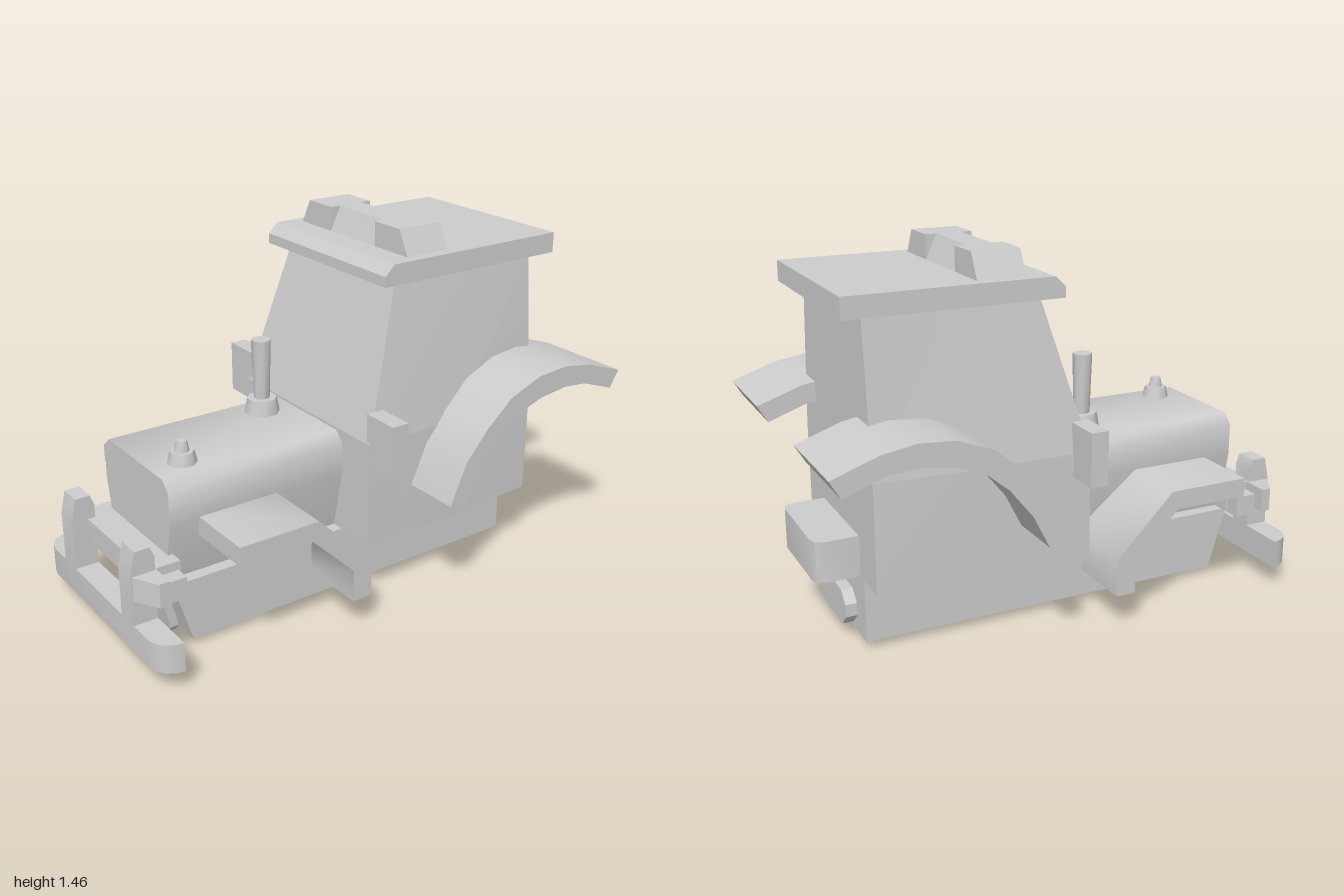
import * as THREE from 'three';
import { toCreasedNormals } from 'three/addons/utils/BufferGeometryUtils.js';

const grey = new THREE.MeshStandardMaterial({ color: 0xcccccc });
grey.name = 'plain grey';

export function createModel() {
  const model = new THREE.Group();
  model.name = 'tractorBody';

  const add = (name, geometry, crease = 0.4) => {
    const mesh = new THREE.Mesh(toCreasedNormals(geometry, crease), grey);
    mesh.name = name;
    model.add(mesh);
    return mesh;
  };
  const extrude = (points, depth) => {
    const shape = new THREE.Shape(points.map(([a, b]) => new THREE.Vector2(a, b)));
    return new THREE.ExtrudeGeometry(shape, { depth, bevelEnabled: false, curveSegments: 8 });
  };
  // Side profile in (z, y), swept from x0 to x1
  const sideways = (points, x0, x1) =>
    extrude(points, x1 - x0).rotateY(-Math.PI / 2).translate(x1, 0, 0);
  // Front profile in (x, y), swept from z0 to z1
  const forward = (points, z0, z1) => extrude(points, z1 - z0).translate(0, 0, z0);
  // Plan in (x, z), swept from y0 to y1
  const upward = (points, y0, y1) =>
    extrude(points.map(([x, z]) => [x, -z]), y1 - y0).rotateX(-Math.PI / 2).translate(0, y0, 0);
  const box = (x0, x1, y0, y1, z0, z1) =>
    new THREE.BoxGeometry(x1 - x0, y1 - y0, z1 - z0)
      .translate((x0 + x1) / 2, (y0 + y1) / 2, (z0 + z1) / 2);
  const reshape = (geometry, rule) => {
    const p = geometry.attributes.position;
    for (let i = 0; i < p.count; i++) p.setXYZ(i, ...rule(p.getX(i), p.getY(i), p.getZ(i)));
    return geometry;
  };
  // Closed outline mirrored across x = 0
  const mirrored = (half) => [...half, ...half.map(([x, y]) => [-x, y]).reverse()];
  const octagon = (w, y0, y1, c) =>
    mirrored([[w - c, y0], [w, y0 + c], [w, y1 - c], [w - c, y1]]);

  // Chassis and hood
  add('chassis', sideways([[-0.77, 0.03], [0.745, 0.03], [0.82, 0.28], [-0.77, 0.28]], -0.25, 0.25));
  add('hood', forward(mirrored([[0.2, 0.28], [0.25, 0.52], [0.25, 0.65], [0.21, 0.69]]), 0.04, 0.82), 0.9);

  // Cab: box with three levels, tapering above the waist
  const cab = reshape(new THREE.BoxGeometry(2, 2, 2, 1, 2, 2), (x, y, z) => {
    const top = y > 0.5;
    const half = top ? 0.335 : [0.39, 0.415, 0.42][Math.round(z) + 1];
    const front = top ? -0.1 : 0.07;
    return [x * half, [0.28, 0.7, 1.28][Math.round(y) + 1], THREE.MathUtils.lerp(-0.77, front, (z + 1) / 2)];
  });
  add('cab', cab, 0.12);
  add('roof', sideways(
    [[-0.855, 1.28], [-0.02, 1.28], [-0.02, 1.32], [-0.06, 1.36], [-0.855, 1.36]], -0.38, 0.38));

  // Roof light bar: full-depth ends and a sloped middle
  for (const s of [1, -1]) {
    add('roofBarEnd', forward(
      [[s * 0.14, 1.36], [s * 0.335, 1.36], [s * 0.285, 1.455], [s * 0.14, 1.455]], -0.345, -0.155));
  }
  add('roofBarMiddle', sideways(
    [[-0.345, 1.36], [-0.155, 1.36], [-0.165, 1.38], [-0.2, 1.455], [-0.3, 1.455], [-0.335, 1.38]],
    -0.14, 0.14));

  // Fenders, lamps and bumper fittings on both sides
  const rearArch = [
    [-0.14, 0.48], [-0.21, 0.64], [-0.305, 0.75], [-0.42, 0.85], [-0.56, 0.905], [-0.7, 0.915],
    [-0.825, 0.895], [-1, 0.835], [-0.96, 0.767], [-0.81, 0.82], [-0.7, 0.83], [-0.575, 0.815],
    [-0.465, 0.777], [-0.37, 0.697], [-0.28, 0.585], [-0.215, 0.457]];
  const frontArch = [
    [0.7, 0.525], [0.37, 0.525], [0.134, 0.29], [0.134, 0.14],
    [0.214, 0.14], [0.214, 0.27], [0.397, 0.45], [0.7, 0.45]];
  const span = (s, a, b) => (s > 0 ? [a, b] : [-b, -a]);
  for (const s of [1, -1]) {
    const side = s > 0 ? 'left' : 'right';
    add(side + 'RearFender', sideways(rearArch, ...span(s, 0.25, 0.645)));
    add(side + 'FrontFender', sideways(frontArch, ...span(s, 0.2, 0.525)), 0.85);
    add(side + 'SideLamp', box(...span(s, 0.4, 0.553), 0.61, 0.82, -0.003, 0.068));
    add(side + 'BumperPost', sideways(
      [[0.905, 0.2], [1, 0.2], [1, 0.4], [0.98, 0.49], [0.92, 0.49], [0.905, 0.45]],
      ...span(s, 0.193, 0.288)));
    add(side + 'Headlamp', upward(
      [[s * 0.28, 0.9], [s * 0.385, 0.9], [s * 0.385, 0.94], [s * 0.29, 0.995], [s * 0.28, 0.995]],
      0.3, 0.395));
  }

  // Bumper and its cross members
  add('frontBumper', upward(
    mirrored([[0.48, 0.905], [0.475, 0.935], [0.455, 0.97], [0.425, 0.99], [0.39, 1]]), 0.085, 0.2), 0.6);
  add('mountBar', box(-0.34, 0.34, 0.275, 0.36, 0.81, 0.905));
  add('mountBlock', box(-0.28, 0.28, 0.28, 0.395, 0.8, 0.905));
  add('crossBar', box(-0.2, 0.2, 0.3, 0.395, 0.9, 0.935));

  // Slanted plate under the nose
  add('nosePlate', reshape(forward(octagon(0.15, 0, 0.18, 0.04), 0.745, 0.78),
    (x, y, z) => [x, y, z + y * 0.2]));

  // Rear blocks
  add('rearBox', upward(
    mirrored([[0.21, -0.76], [0.21, -0.9], [0.195, -0.93], [0.165, -0.94]]), 0.28, 0.44), 0.6);
  add('rearPlate', forward(octagon(0.15, 0.05, 0.19, 0.045), -0.815, -0.76));

  // Exhaust and filler cap on the hood
  const round = (name, x, z, y0, y1, bottom, top) =>
    add(name, new THREE.CylinderGeometry(top, bottom, y1 - y0, 8)
      .rotateY(Math.PI / 8).translate(x, (y0 + y1) / 2, z), 0.9);
  round('exhaustBase', -0.11, 0.2, 0.685, 0.75, 0.072, 0.06);
  round('exhaustPipe', -0.11, 0.2, 0.75, 0.99, 0.032, 0.039);
  round('capBase', 0.122, 0.69, 0.685, 0.735, 0.057, 0.045);
  round('capKnob', 0.122, 0.69, 0.735, 0.775, 0.029, 0.02);

  return model;
}
